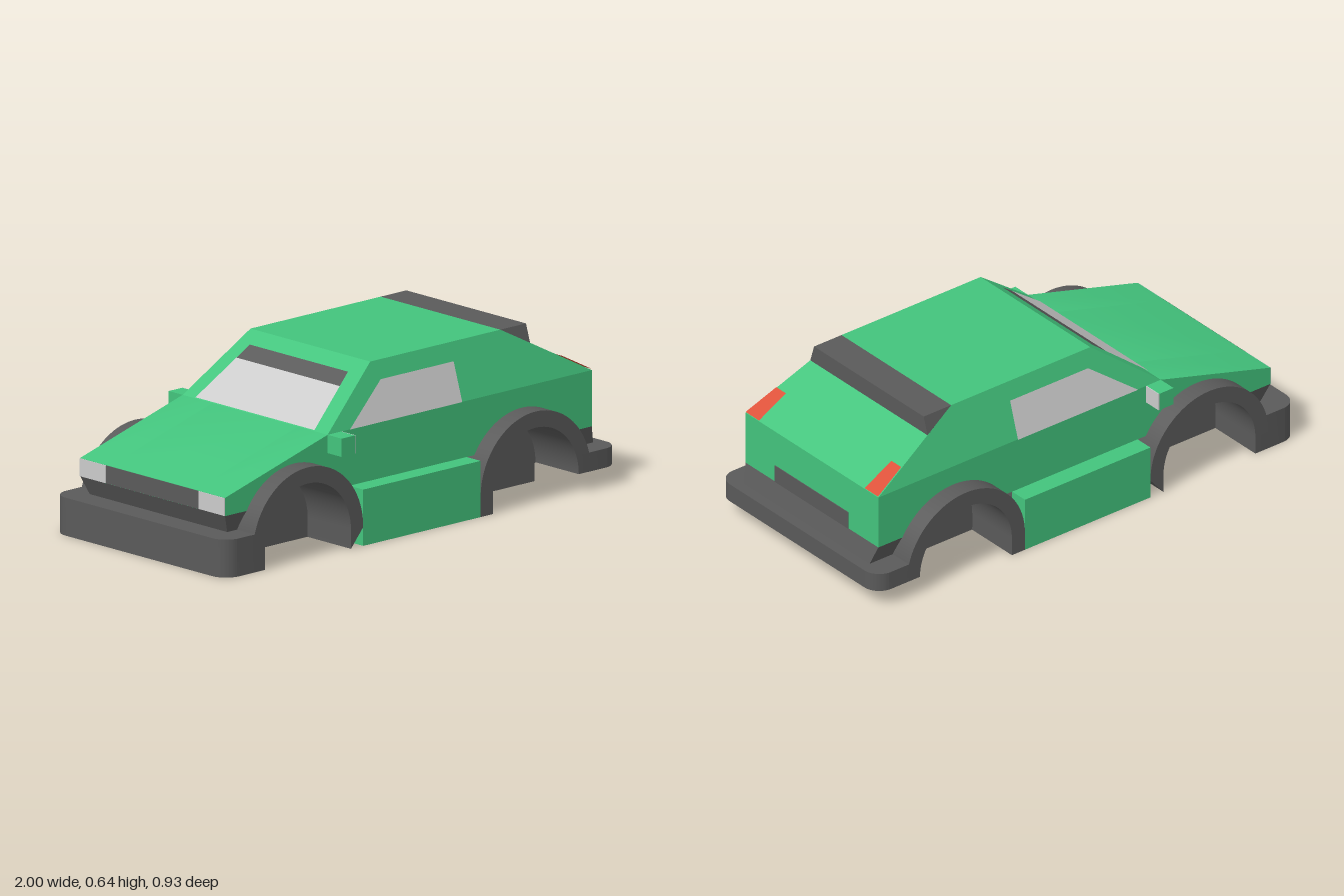
import * as THREE from 'three';
import { toCreasedNormals } from 'three/addons/utils/BufferGeometryUtils.js';

const mat = (color) => new THREE.MeshStandardMaterial({ color });
const AXLES = [-0.58, 0.575];
const AXLE_Y = 0.072, WELL_R = 0.218, ARCH_R = 0.28;
const BELT = 0.43, ROOF = 0.645, HALF = 0.39;

// half width of the body, leaning inwards above the belt line
const halfWidth = (y) => HALF - Math.max(0, y - BELT) * (0.068 / (ROOF - BELT));

const polygon = (pts) => new THREE.Shape(pts.map(([x, y]) => new THREE.Vector2(x, y)));

// prism of an xy shape between z0 and z1
function prism(shape, z0, z1) {
  const g = new THREE.ExtrudeGeometry(shape, { depth: z1 - z0, bevelEnabled: false, curveSegments: 32 });
  g.translate(0, 0, z0);
  return toCreasedNormals(g, 0.5);
}

// prism over the full width whose sides follow a half width rule
function leaningPrism(pts, rule) {
  const g = prism(polygon(pts), -1, 1);
  const p = g.attributes.position;
  for (let i = 0; i < p.count; i++) p.setZ(i, Math.sign(p.getZ(i)) * rule(p.getY(i)));
  g.computeVertexNormals();
  return g;
}

// flat four-cornered panel
function panel(corners) {
  const g = new THREE.BufferGeometry();
  g.setAttribute('position', new THREE.Float32BufferAttribute(corners.flat(), 3));
  g.setIndex([0, 1, 2, 0, 2, 3]);
  g.computeVertexNormals();
  return g;
}

export function createModel() {
  const car = new THREE.Group();
  car.name = 'car';
  const green = mat(0x43c47d), dark = mat(0x5a5a5a), red = mat(0xdc5038), grey = mat(0xcccccc);
  const glass = mat(0xcccccc), trim = mat(0x5a5a5a), lamp = mat(0xdc5038);
  for (const m of [glass, trim, lamp, grey]) m.side = THREE.DoubleSide;

  const add = (name, geometry, material) => {
    const mesh = new THREE.Mesh(geometry, material);
    mesh.name = name;
    car.add(mesh);
    return mesh;
  };
  const box = (name, material, x0, x1, y0, y1, z0, z1) => {
    const g = new THREE.BoxGeometry(x1 - x0, y1 - y0, Math.abs(z1 - z0));
    g.translate((x0 + x1) / 2, (y0 + y1) / 2, (z0 + z1) / 2);
    return add(name, g, material);
  };

  // lower body: solid centre, sides cut out over the wheels
  const outline = [[0.93, 0.215], [0.93, BELT], [-0.41, BELT], [-0.93, 0.285], [-0.93, 0.215]];
  add('bodyCentre', prism(polygon(outline), -0.23, 0.23), green);
  const side = polygon(outline);
  const cutR = 0.25, a = Math.asin((0.215 - AXLE_Y) / cutR);
  for (const x of AXLES) side.absarc(x, AXLE_Y, cutR, Math.PI - a, a, true);
  for (const s of [-1, 1]) {
    add('bodySide', prism(side, s > 0 ? 0.23 : -HALF, s > 0 ? HALF : -0.23), green);
  }

  // cabin and rear spoiler
  add('cabin', leaningPrism([[-0.41, BELT], [0.93, BELT], [0.53, ROOF], [-0.13, ROOF]], halfWidth), green);
  add('spoiler', leaningPrism([[0.53, ROOF], [0.66, 0.572], [0.66, ROOF]], halfWidth), dark);

  // underbody and the dark skirts at both ends
  box('underbody', dark, -0.8, 0.79, 0, 0.214, -0.23, 0.23);
  box('floor', dark, -0.3, 0.295, 0, 0.214, -HALF, HALF);
  const skirtWidth = (y) => 0.37 + (y - 0.145) * 0.28;
  add('frontSkirt', leaningPrism([[-0.9, 0.145], [-0.8, 0.145], [-0.8, 0.215], [-0.93, 0.215]], skirtWidth), dark);
  add('rearSkirt', leaningPrism([[0.79, 0.145], [0.955, 0.145], [0.93, 0.215], [0.79, 0.215]], skirtWidth), dark);

  // bumpers with rounded outer corners
  const bumper = (name, dir, inner, y0, y1) => {
    const s = new THREE.Shape();
    const w = 0.465, r = 0.07;
    s.moveTo(inner, -w);
    s.lineTo(1 - r, -w);
    s.absarc(1 - r, -w + r, r, -Math.PI / 2, 0);
    s.absarc(1 - r, w - r, r, 0, Math.PI / 2);
    s.lineTo(inner, w);
    const g = prism(s, 0, y1 - y0);
    g.rotateX(-Math.PI / 2);
    if (dir < 0) g.rotateY(Math.PI);
    g.translate(0, y0, 0);
    add(name, g, dark);
  };
  bumper('frontBumper', -1, 0.798, 0, 0.145);
  bumper('rearBumper', 1, 0.793, 0.072, 0.145);

  // wheel arches: the leg next to the sill reaches the ground
  AXLES.forEach((x, i) => {
    const arch = new THREE.Shape();
    const toSill = i === 0 ? 1 : -1;
    const foot = (d) => (d === toSill ? 0 : AXLE_Y);
    arch.moveTo(x + ARCH_R, foot(1));
    arch.absarc(x, AXLE_Y, ARCH_R, 0, Math.PI);
    arch.lineTo(x - ARCH_R, foot(-1));
    arch.lineTo(x - WELL_R, foot(-1));
    arch.absarc(x, AXLE_Y, WELL_R, Math.PI, 0, true);
    arch.lineTo(x + WELL_R, foot(1));
    const wall = new THREE.Shape();
    wall.moveTo(x + WELL_R + 0.01, 0.01);
    wall.absarc(x, AXLE_Y, WELL_R + 0.01, 0, Math.PI);
    wall.lineTo(x - WELL_R - 0.01, 0.01);
    add('wheelWellWall', prism(wall, -0.232, 0.232), dark);
    add('wheelArch', prism(arch, 0.23, 0.465), dark);
    add('wheelArch', prism(arch, -0.465, -0.23), dark);
  });

  // points on the windscreen and on the rear slope, lifted slightly off the surface
  const e = 0.003;
  const screen = (x, z) => [x - e, BELT + (x + 0.41) * (ROOF - BELT) / 0.28 + e, z];
  const slope = (x, z) => [x + e, BELT + (0.93 - x) * (ROOF - BELT) / 0.4 + e, z];
  add('windscreen', panel([screen(-0.408, 0.32), screen(-0.408, -0.32), screen(-0.24, -0.278), screen(-0.24, 0.278)]), glass);
  add('sunStrip', panel([screen(-0.24, 0.278), screen(-0.24, -0.278), screen(-0.185, -0.264), screen(-0.185, 0.264)]), trim);

  // grille and number plate recess
  box('grille', dark, -0.932, -0.92, 0.216, 0.284, -0.25, 0.25);
  box('rearPanel', dark, 0.92, 0.933, 0.215, 0.285, -0.215, 0.215);

  // mirrored parts
  for (const s of [-1, 1]) {
    box('sill', green, -0.3, 0.295, 0, 0.215, s * HALF, s * 0.465);
    box('mirror', green, -0.41, -0.342, 0.36, 0.43, s * 0.385, s * 0.465);
    box('mirrorGlass', grey, -0.342, -0.339, 0.36, 0.43, s * HALF, s * 0.465);
    box('headlight', grey, -0.933, -0.92, 0.216, 0.284, s * 0.25, s * 0.389);
    const onSide = (x, y) => [x, y, s * (halfWidth(y) + e)];
    const win = [onSide(-0.3, BELT), onSide(0.27, BELT), onSide(0.27, 0.577), onSide(-0.1, 0.577)];
    add('sideWindow', panel(s > 0 ? win : win.reverse()), glass);
    const tail = [slope(0.928, s * 0.31), slope(0.928, s * 0.389), slope(0.8, s * 0.367), slope(0.8, s * 0.31)];
    add('tailLight', panel(s > 0 ? tail.reverse() : tail), lamp);
  }
  return car;
}
